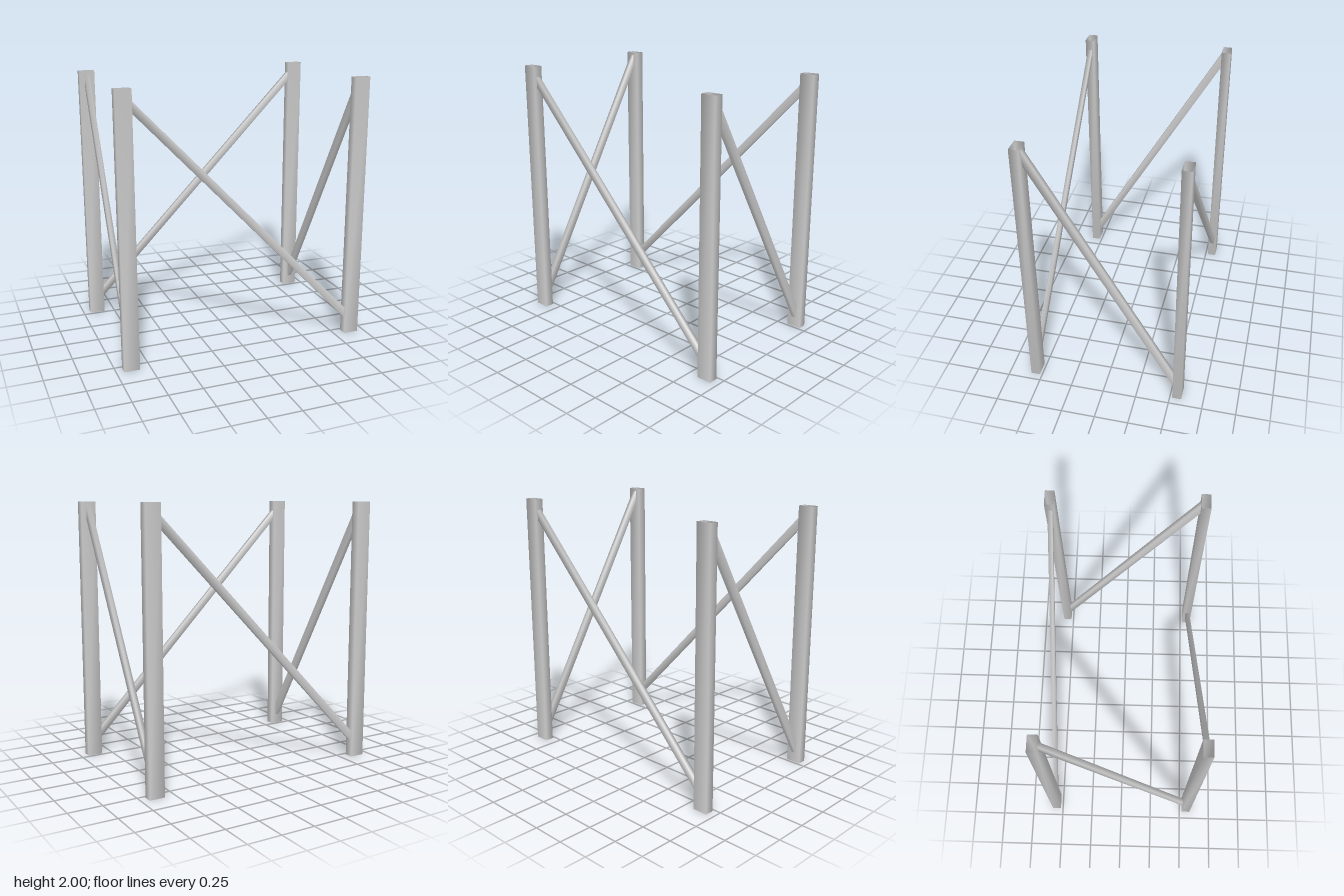
import * as THREE from 'three';

const POST_X = 0.8875, POST_Z = 0.5525; // post centres
const HALF_W = 0.0575, HALF_D = 0.034;  // post half sizes

const material = new THREE.MeshStandardMaterial({ color: 0xcccccc, side: THREE.DoubleSide });

// Open four-sided tube between two centres; u and v are the half axes of its section
function tube(name, start, end, u, v) {
  const corners = [[1, 1], [1, -1], [-1, -1], [-1, 1]];
  const positions = [], index = [];
  for (const c of [start, end])
    for (const [a, b] of corners)
      positions.push(...c.map((p, k) => p + a * u[k] + b * v[k]));
  for (let i = 0; i < 4; i++) {
    const j = (i + 1) % 4;
    index.push(i, j, j + 4, i, j + 4, i + 4);
  }
  const geometry = new THREE.BufferGeometry();
  geometry.setAttribute('position', new THREE.Float32BufferAttribute(positions, 3));
  geometry.setIndex(index);
  geometry.computeVertexNormals(); // shared corners give soft shading
  const mesh = new THREE.Mesh(geometry, material);
  mesh.name = name;
  return mesh;
}

// Two posts, one long brace and one short brace
function createHalf(name) {
  const half = new THREE.Group();
  half.name = name;

  for (const side of [1, -1]) {
    const x = side * POST_X;
    half.add(tube(side > 0 ? 'leftPost' : 'rightPost',
      [x, 0, POST_Z], [x, 2, POST_Z], [HALF_W, 0, 0], [0, 0, HALF_D]));
  }

  // Long brace, ends cut flush with the inner post faces
  const bx = POST_X - HALF_W;
  half.add(tube('longBrace', [bx, 0.17, POST_Z], [-bx, 1.88, POST_Z], [0, 0.04, 0], [0, 0, 0.017]));

  // Short brace along the side
  const bz = POST_Z - HALF_D;
  half.add(tube('shortBrace', [POST_X, 0.135, -bz], [POST_X, 1.92, bz], [0, 0.058, 0], [0.018, 0, 0]));
  return half;
}

export function createModel() {
  const model = new THREE.Group();
  model.name = 'bracedFrame';
  const back = createHalf('backHalf');
  back.rotation.y = Math.PI;
  model.add(createHalf('frontHalf'), back);
  return model;
}
